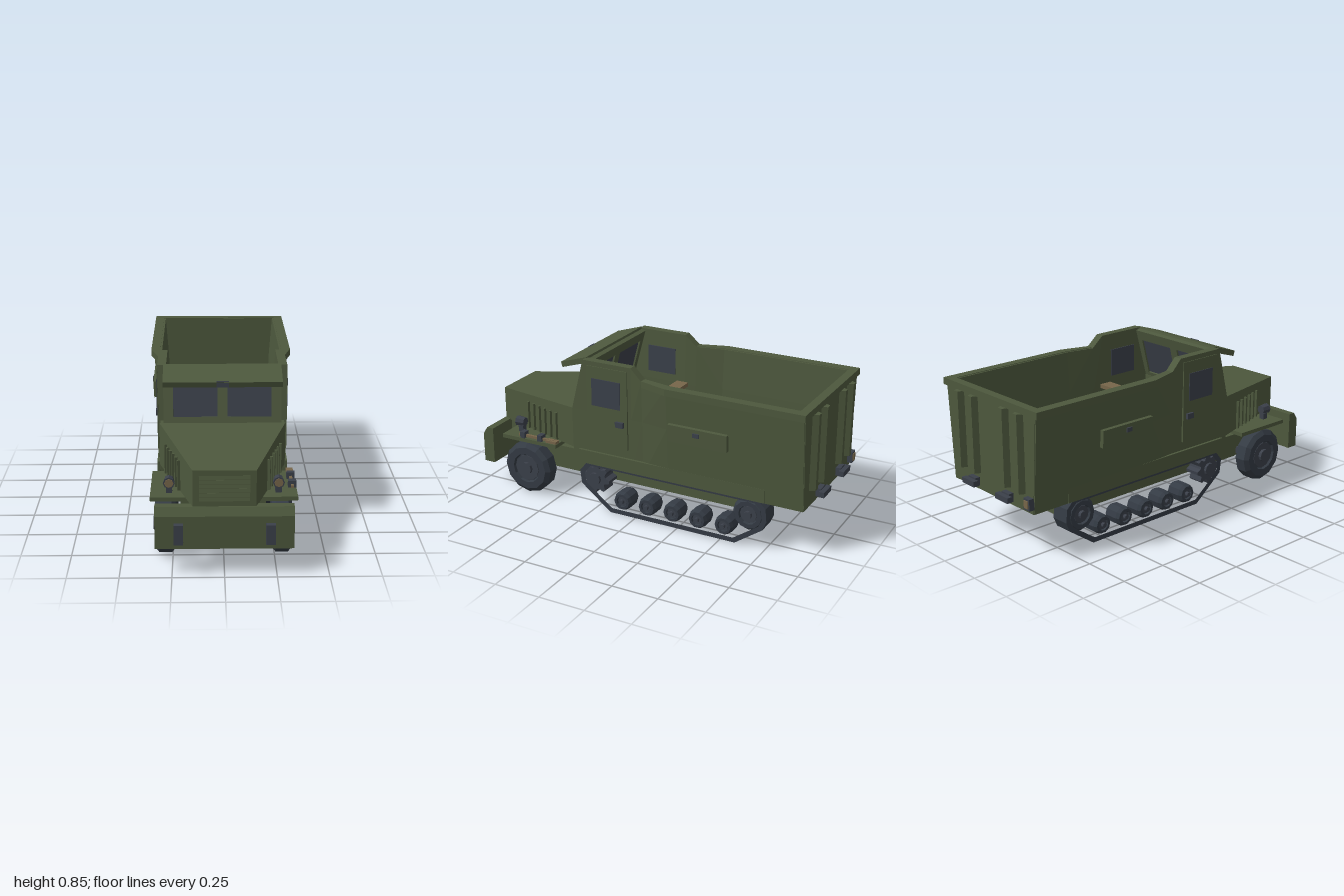
import * as THREE from 'three';

const material = (name, color) => {
  const m = new THREE.MeshStandardMaterial({ color });
  m.name = name;
  return m;
};

export function createModel() {
  const green = material('olive green', 0x4d583d);
  const slate = material('slate metal', 0x3b404a);
  const rubber = material('dark rubber', 0x343b44);
  const tan = material('tan wood', 0x77664a);
  const root = new THREE.Group();
  root.name = 'halfTrack';

  const add = (name, geo, mat, x = 0, y = 0, z = 0, parent = root) => {
    const mesh = new THREE.Mesh(geo, mat);
    mesh.name = name;
    mesh.position.set(x, y, z);
    parent.add(mesh);
    return mesh;
  };
  // Box given by its limits on each axis
  const box = (name, mat, x0, x1, y0, y1, z0, z1) => add(name,
    new THREE.BoxGeometry(Math.abs(x1 - x0), y1 - y0, Math.abs(z1 - z0)), mat, (x0 + x1) / 2, (y0 + y1) / 2, (z0 + z1) / 2);
  const flat = (geo) => {
    const g = geo.index ? geo.toNonIndexed() : geo;
    g.computeVertexNormals();
    return g;
  };
  // Closed solid through rings of [x, y, z] points, faces turned outward
  const loft = (rings) => {
    const n = rings[0].length, tris = [];
    for (let r = 0; r + 1 < rings.length; r++) {
      for (let i = 0; i < n; i++) {
        const j = (i + 1) % n, a = rings[r], b = rings[r + 1];
        tris.push([a[i], a[j], b[j]], [a[i], b[j], b[i]]);
      }
    }
    const last = rings[rings.length - 1];
    for (let i = 1; i + 1 < n; i++) {
      tris.push([rings[0][0], rings[0][i + 1], rings[0][i]], [last[0], last[i], last[i + 1]]);
    }
    let volume = 0;
    const v = (p) => new THREE.Vector3(...p);
    for (const [a, b, c] of tris) volume += v(a).dot(v(b).cross(v(c)));
    const pos = tris.flatMap(([a, b, c]) => (volume < 0 ? [a, c, b] : [a, b, c])).flat();
    const g = new THREE.BufferGeometry();
    g.setAttribute('position', new THREE.Float32BufferAttribute(pos, 3));
    g.computeVertexNormals();
    return g;
  };
  const shapeOf = (pts) => new THREE.Shape(pts.map((p) => new THREE.Vector2(...p)));
  // Extrude a (z, y) outline across x
  const sideExtrude = (name, mat, shape, x, width, y = 0, z = 0) => {
    const geo = new THREE.ExtrudeGeometry(shape, { depth: width, bevelEnabled: false });
    geo.translate(0, 0, -width / 2).rotateY(-Math.PI / 2);
    return add(name, geo, mat, x, y, z);
  };
  const sides = [1, -1];

  // Hull
  box('hullFloor', green, -0.32, 0.32, 0.26, 0.34, -0.945, 0.38);
  box('lowerHull', green, -0.215, 0.215, 0.14, 0.27, -0.7, 0.57);
  box('engineSump', green, -0.14, 0.14, 0.1, 0.345, 0.5, 0.86);
  box('bumperBracket', green, -0.15, 0.15, 0.27, 0.34, 0.84, 0.92);
  box('firewall', green, -0.315, 0.315, 0.3, 0.56, 0.34, 0.38);

  // Hood narrowing toward the grille
  const hoodRing = (w, top, z) => [[-w, 0.335, z], [w, 0.335, z], [w, top, z], [-w, top, z]];
  add('hood', loft([hoodRing(0.15, 0.52, 0.94), hoodRing(0.32, 0.56, 0.38)]), green);
  for (let i = 0; i < 6; i++) {
    const slat = box('grilleSlat', green, -0.12, 0.12, 0.366 + i * 0.0217, 0.384 + i * 0.0217, 0.934, 0.944);
    slat.rotation.x = -0.25;
  }

  // Bumper with chamfered top and tow brackets
  sideExtrude('frontBumper', green,
    shapeOf([[0.905, 0.135], [0.97, 0.135], [0.97, 0.3], [0.945, 0.34], [0.905, 0.34]]), 0, 0.66);
  for (const s of sides) box('towBracket', slate, s * 0.195, s * 0.24, 0.167, 0.267, 0.96, 1);

  // Side walls: [z at base, z at top, base x, middle x, top x, top y]
  const stations = [
    [0.38, 0.305, 0.32, 0.325, 0.33, 0.845],
    [0.02, 0.02, 0.32, 0.325, 0.33, 0.845],
    [-0.045, -0.045, 0.32, 0.326, 0.335, 0.785],
    [-0.2, -0.2, 0.33, 0.35, 0.366, 0.785],
    [-0.945, -0.945, 0.33, 0.35, 0.366, 0.785],
  ];
  for (const s of sides) {
    add('sideWall', loft(stations.map(([zb, zt, b, m, t, ty]) => [
      [s * b, 0.26, zb], [s * m, 0.56, zb], [s * t, ty, zt],
      [s * (t - 0.045), ty, zt], [s * (m - 0.045), 0.56, zb], [s * (b - 0.035), 0.26, zb],
    ])), green);
    add('rimLip', loft(stations.slice(2).map(([z, , , , t], i) => {
      const outer = t + (i ? 0.014 : 0);
      return [[s * (t - 0.035), 0.752, z], [s * outer, 0.752, z], [s * outer, 0.788, z], [s * (t - 0.035), 0.788, z]];
    })), green);
    box('trackSkirt', green, s * 0.29, s * 0.336, 0.262, 0.337, -0.74, 0.34);

    // Door, window and handle
    box('door', green, s * 0.3, s * 0.334, 0.385, 0.82, 0.04, 0.28);
    box('doorWindow', slate, s * 0.278, s * 0.338, 0.605, 0.755, 0.08, 0.25);
    box('doorHandle', slate, s * 0.325, s * 0.348, 0.51, 0.54, 0.06, 0.106);

    // Hatch on the flared wall
    const hatch = box('sideHatch', green, s * 0.34, s * 0.372, 0.508, 0.6, -0.545, -0.215);
    hatch.rotation.z = -s * 0.05;
    box('hatchLatch', slate, s * 0.365, s * 0.381, 0.558, 0.58, -0.395, -0.36);

    // Fender and hood louvres
    box('fender', green, s * 0.15, s * 0.356, 0.315, 0.336, 0.475, 0.82);
    for (const z of [0.735, 0.69, 0.645, 0.6, 0.555, 0.51]) {
      const x = 0.15 + (0.94 - z) * 0.3036;
      const fin = add('hoodLouvre', new THREE.BoxGeometry(0.028, 0.155, 0.012), green, s * x, 0.417, z);
      fin.rotation.y = -s * 0.29;
    }

    // Headlight
    const lamp = add('headlight', flat(new THREE.CylinderGeometry(0.029, 0.024, 0.05, 8).rotateX(Math.PI / 2)), slate, s * 0.265, 0.392, 0.753);
    add('headlightLens', flat(new THREE.CylinderGeometry(0.022, 0.022, 0.006, 8).rotateX(Math.PI / 2)), tan, 0, 0, 0.026, lamp);
    box('headlightPost', slate, s * 0.25, s * 0.28, 0.335, 0.37, 0.735, 0.765);
  }

  // Windshield frame, leaning back, with two panes
  const windshield = new THREE.Group();
  windshield.name = 'windshield';
  windshield.position.set(0, 0.56, 0.38);
  windshield.rotation.x = -0.257;
  root.add(windshield);
  const frame = shapeOf([[-0.3, -0.02], [0.3, -0.02], [0.3, 0.29], [-0.3, 0.29]]);
  for (const s of sides) {
    frame.holes.push(shapeOf([[s * 0.025, 0.031], [s * 0.25, 0.031], [s * 0.25, 0.235], [s * 0.025, 0.235]]));
    add('windshieldPane', new THREE.BoxGeometry(0.225, 0.204, 0.014), slate, s * 0.1375, 0.133, -0.018, windshield);
  }
  add('windshieldFrame', new THREE.ExtrudeGeometry(frame, { depth: 0.035, bevelEnabled: false }), green, 0, 0, -0.035, windshield);
  const visor = add('visor', new THREE.BoxGeometry(0.598, 0.03, 0.165), green, 0, 0.81, 0.375);
  visor.rotation.x = 0.31;
  box('visorLamp', slate, -0.03, 0.03, 0.772, 0.803, 0.43, 0.457);

  // Tailgate, ribs, hooks and lamp
  const gate = shapeOf([[-0.325, 0.26], [0.325, 0.26], [0.36, 0.785], [-0.36, 0.785]]);
  add('tailgate', new THREE.ExtrudeGeometry(gate, { depth: 0.04, bevelEnabled: false }), green, 0, 0, -0.948);
  box('tailgateRim', green, -0.38, 0.38, 0.752, 0.788, -0.955, -0.91);
  for (const x of [-0.24, -0.125, 0.125, 0.24]) {
    add('tailgateRib', loft([0.35, 0.753].map((y) =>
      [[x - 0.032, y, -0.94], [x + 0.032, y, -0.94], [x + 0.014, y, -0.978], [x - 0.014, y, -0.978]])), green);
  }
  for (const s of sides) {
    box('towHookBase', slate, s * 0.11, s * 0.17, 0.28, 0.325, -0.975, -0.94);
    box('towHook', slate, s * 0.09, s * 0.19, 0.288, 0.317, -1, -0.972);
  }
  box('tailLamp', slate, -0.33, -0.285, 0.285, 0.345, -0.975, -0.94);
  box('tailLampLens', tan, -0.322, -0.293, 0.295, 0.335, -0.98, -0.974);

  // Benches
  for (const s of sides) box('sideBench', tan, s * 0.168, s * 0.302, 0.46, 0.482, -0.91, 0);
  box('frontBench', tan, -0.28, 0.28, 0.55, 0.572, 0, 0.07);

  // Tools strapped to one fender
  box('toolHandle', tan, 0.328, 0.342, 0.34, 0.354, 0.5, 0.72);
  box('toolBlade', tan, 0.318, 0.353, 0.338, 0.352, 0.475, 0.54);
  for (const z of [0.58, 0.69]) box('toolClamp', slate, 0.315, 0.355, 0.336, 0.371, z - 0.014, z + 0.014);

  // Wheels: lathe profile of a chamfered tyre with recessed disc
  const wheel = (name, x, y, z, r, w, segments) => {
    const h = w / 2;
    const half = [[0, 0.75 * h], [0.54 * r, 0.75 * h], [0.58 * r, h], [0.84 * r, h], [r, 0.62 * h]];
    const profile = [...half.map(([a, b]) => [a, -b]), ...half.reverse()];
    const geo = new THREE.LatheGeometry(profile.map((p) => new THREE.Vector2(...p)), segments);
    const mesh = add(name, flat(geo.rotateZ(Math.PI / 2)), rubber, x, y, z);
    add('hub', flat(new THREE.CylinderGeometry(0.24 * r, 0.24 * r, w + 0.02, 10).rotateZ(Math.PI / 2)), slate, 0, 0, 0, mesh);
    add('wheelDisc', flat(new THREE.CylinderGeometry(0.5 * r, 0.5 * r, w * 0.85, segments).rotateZ(Math.PI / 2)), slate, 0, 0, 0, mesh);
  };
  box('frontAxle', slate, -0.24, 0.24, 0.112, 0.15, 0.665, 0.71);
  for (const s of sides) {
    wheel('frontWheel', s * 0.285, 0.147, 0.687, 0.147, 0.1, 12);

    // Track belt as a ring outline
    const belt = shapeOf([[0.28, 0.28], [0.335, 0.215], [0.325, 0.14], [0.15, 0.004], [-0.585, 0.004],
      [-0.735, 0.11], [-0.757, 0.16], [-0.75, 0.23], [-0.7, 0.28]]);
    belt.holes.push(shapeOf([[0.27, 0.252], [0.305, 0.205], [0.297, 0.152], [0.14, 0.03], [-0.575, 0.03],
      [-0.712, 0.125], [-0.73, 0.16], [-0.725, 0.22], [-0.69, 0.252]]));
    sideExtrude('trackBelt', rubber, belt, s * 0.285, 0.1);

    // Toothed drive sprocket, idler and road wheels
    const teeth = [];
    for (let i = 0; i < 32; i++) {
      const a = (i / 32) * Math.PI * 2, r = i % 4 < 2 ? 0.085 : 0.062;
      teeth.push([Math.cos(a) * r, Math.sin(a) * r]);
    }
    sideExtrude('driveSprocket', slate, shapeOf(teeth), s * 0.285, 0.085, 0.18, 0.245);
    add('sprocketHub', flat(new THREE.CylinderGeometry(0.035, 0.035, 0.125, 10).rotateZ(Math.PI / 2)), slate, s * 0.28, 0.18, 0.245);
    wheel('idlerWheel', s * 0.285, 0.178, -0.655, 0.09, 0.104, 12);
    for (let i = 0; i < 5; i++) wheel('roadWheel', s * 0.282, 0.08, 0.08 - i * 0.149, 0.053, 0.105, 10);
    for (const [z, y] of [[0.245, 0.18], [-0.655, 0.178]]) {
      box('trackAxle', slate, s * 0.2, s * 0.25, y - 0.02, y + 0.02, z - 0.02, z + 0.02);
    }
  }
  return root;
}
